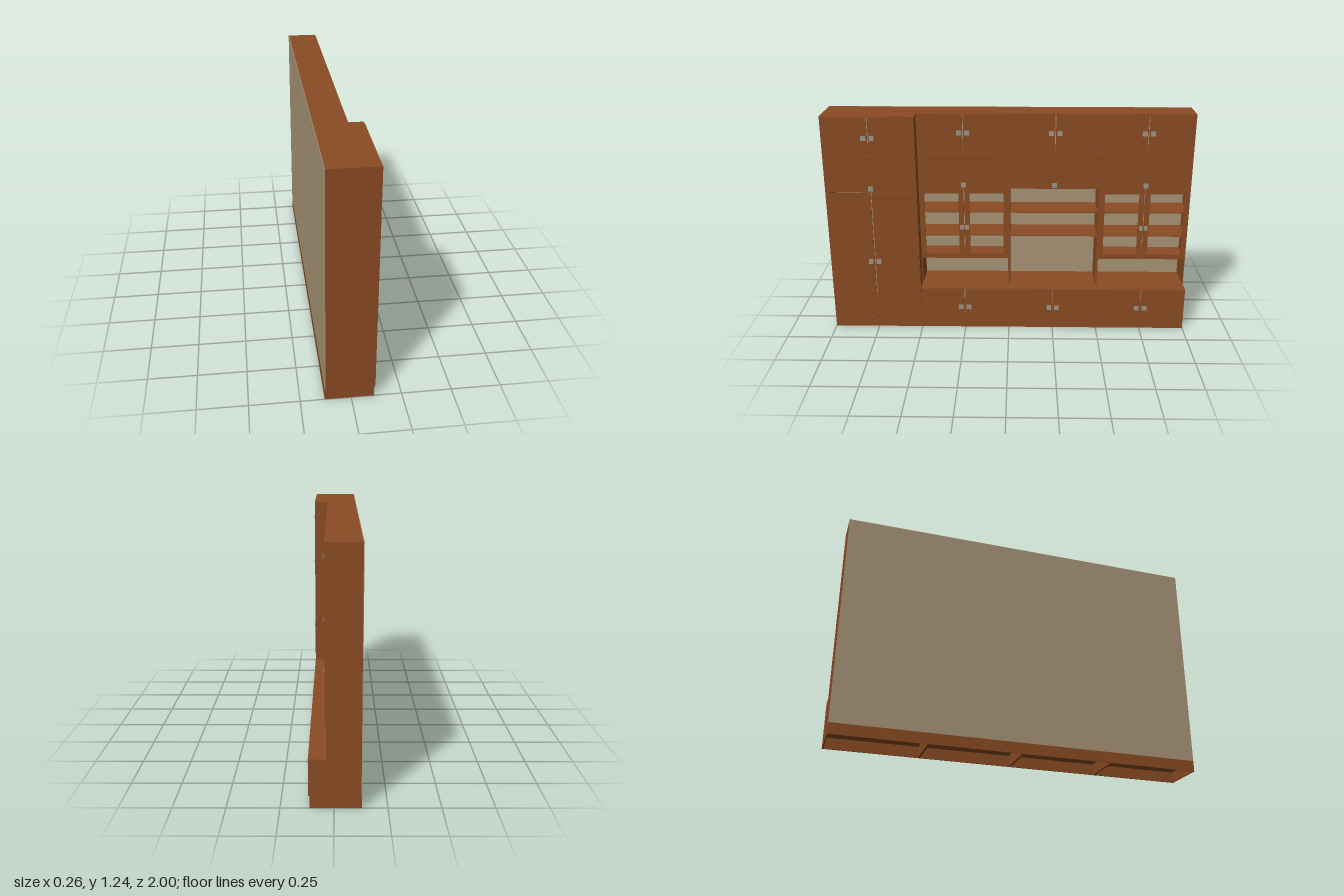
import * as THREE from 'three';

const T = 0.006;            // panel thickness
const BACK = -0.127;        // inner face of the back panel
const DEEP = 0.113;         // carcass front of tall and base units
const SHALLOW = 0.036;      // carcass front of the wall units
const H = 1.24, PLINTH = 0.06, COUNTER = 0.245;

export function createModel() {
  const root = new THREE.Group();
  root.name = 'wallUnit';
  const material = (name, color) => {
    const m = new THREE.MeshStandardMaterial({ color });
    m.name = name;
    return m;
  };
  const wood = material('brownWood', 0x8b4b24);
  const backing = material('beigeBacking', 0xa89477);
  const metal = material('handleMetal', 0x8c887e);

  // Box given by its lower and upper corner
  function panel(parent, name, x0, x1, y0, y1, z0, z1, mat = wood) {
    const mesh = new THREE.Mesh(new THREE.BoxGeometry(x1 - x0, y1 - y0, z1 - z0), mat);
    mesh.position.set((x0 + x1) / 2, (y0 + y1) / 2, (z0 + z1) / 2);
    mesh.name = name;
    parent.add(mesh);
  }

  // Slanted pull with a small foot, extruded along z
  const pullShape = new THREE.Shape([
    [0, 0.004], [0.002, 0.013], [0.004, 0.013], [0.011, -0.012],
    [0.009, -0.012], [0.004, 0.004], [0.002, -0.006], [0, -0.006],
  ].map(([x, y]) => new THREE.Vector2(x, y)));
  function handle(parent, x, y, z, width) {
    const geo = new THREE.ExtrudeGeometry(pullShape, { depth: width, bevelEnabled: false });
    geo.translate(0, 0, -width / 2);
    const mesh = new THREE.Mesh(geo, metal);
    mesh.position.set(x, y, z);
    mesh.name = 'handle';
    parent.add(mesh);
  }

  const GAP = 0.0025;
  // Plain door leaf lying on the carcass front
  function door(parent, x, y0, y1, z0, z1) {
    panel(parent, 'door', x, x + 0.006, y0, y1, z0 + GAP, z1 - GAP);
  }
  function doorPair(parent, x, y0, y1, z0, z1, handleY) {
    const mid = (z0 + z1) / 2;
    door(parent, x, y0, y1, z0, mid);
    door(parent, x, y0, y1, mid, z1);
    for (const s of [-1, 1]) handle(parent, x + 0.006, handleY, mid + s * 0.022, 0.027);
  }
  function flap(parent, x, z0, z1) {
    door(parent, x, 0.823, 1.024, z0, z1);
    handle(parent, x + 0.006, 0.842, (z0 + z1) / 2, 0.027);
  }

  // Framed door leaf with an open window
  function windowDoor(parent, x, y0, y1, z0, z1) {
    const w = z1 - z0 - 2 * GAP, h = y1 - y0, b = 0.028;
    const rect = (path, l, r, lo, hi) =>
      path.moveTo(l, lo).lineTo(r, lo).lineTo(r, hi).lineTo(l, hi).closePath();
    const frame = new THREE.Shape();
    rect(frame, -w / 2, w / 2, 0, h);
    const hole = new THREE.Path();
    rect(hole, -w / 2 + b, w / 2 - b, b, h - b);
    frame.holes.push(hole);
    const geo = new THREE.ExtrudeGeometry(frame, { depth: 0.006, bevelEnabled: false });
    geo.rotateY(Math.PI / 2);
    const mesh = new THREE.Mesh(geo, wood);
    mesh.position.set(x, y0, (z0 + z1) / 2);
    mesh.name = 'windowDoor';
    parent.add(mesh);
  }

  // Sides and horizontal boards of one carcass
  function carcass(parent, front, y0, y1, z0, z1, boards) {
    panel(parent, 'side', BACK, front, y0, y1, z0, z0 + T);
    panel(parent, 'side', BACK, front, y0, y1, z1 - T, z1);
    for (const y of boards) panel(parent, 'board', BACK, front, y, y + T, z0 + T, z1 - T);
  }
  function plinth(parent, z0, z1) {
    panel(parent, 'plinthFront', DEEP - T, DEEP, 0, PLINTH, z0 + T, z1 - T);
    panel(parent, 'plinthBack', -0.13, BACK, 0, PLINTH, z0, z1);
  }
  function group(name) {
    const g = new THREE.Group();
    g.name = name;
    root.add(g);
    return g;
  }

  // Tall wardrobe
  const tall = group('tallCabinet');
  carcass(tall, DEEP, 0, H, 0.5, 1, [PLINTH, 0.82, 1.024, H - T]);
  plinth(tall, 0.5, 1);
  doorPair(tall, DEEP, PLINTH, 0.819, 0.5, 1, 0.413);
  flap(tall, DEEP, 0.5, 1);
  doorPair(tall, DEEP, 1.031, H - 0.003, 0.5, 1, 1.125);

  // Three base units with wall units above
  [0, -0.5, -1].forEach((z0, i) => {
    const z1 = z0 + 0.5, mid = z0 + 0.25;
    const base = group('baseCabinet');
    carcass(base, DEEP, 0, COUNTER, z0, z1, [PLINTH, COUNTER - T]);
    plinth(base, z0, z1);
    doorPair(base, DEEP, PLINTH, COUNTER - 0.003, z0, z1, 0.132);

    const open = i === 1;
    const wall = group(open ? 'openShelfUnit' : 'displayCabinet');
    const boards = [0.538, 0.677, 0.819, 1.024, H - T];
    if (!open) boards.push(0.4);
    carcass(wall, SHALLOW, COUNTER, H, z0, z1, boards);
    flap(wall, SHALLOW, z0, z1);
    doorPair(wall, SHALLOW, 1.031, H - 0.003, z0, z1, 1.135);
    if (!open) {
      windowDoor(wall, SHALLOW, 0.402, 0.819, z0, mid);
      windowDoor(wall, SHALLOW, 0.402, 0.819, mid, z1);
      for (const s of [-1, 1]) handle(wall, SHALLOW + 0.006, 0.592, mid + s * 0.014, 0.02);
    }
  });

  // Back panel across all units
  panel(root, 'backPanel', -0.13, BACK, PLINTH, H, -1, 1, backing);
  return root;
}
